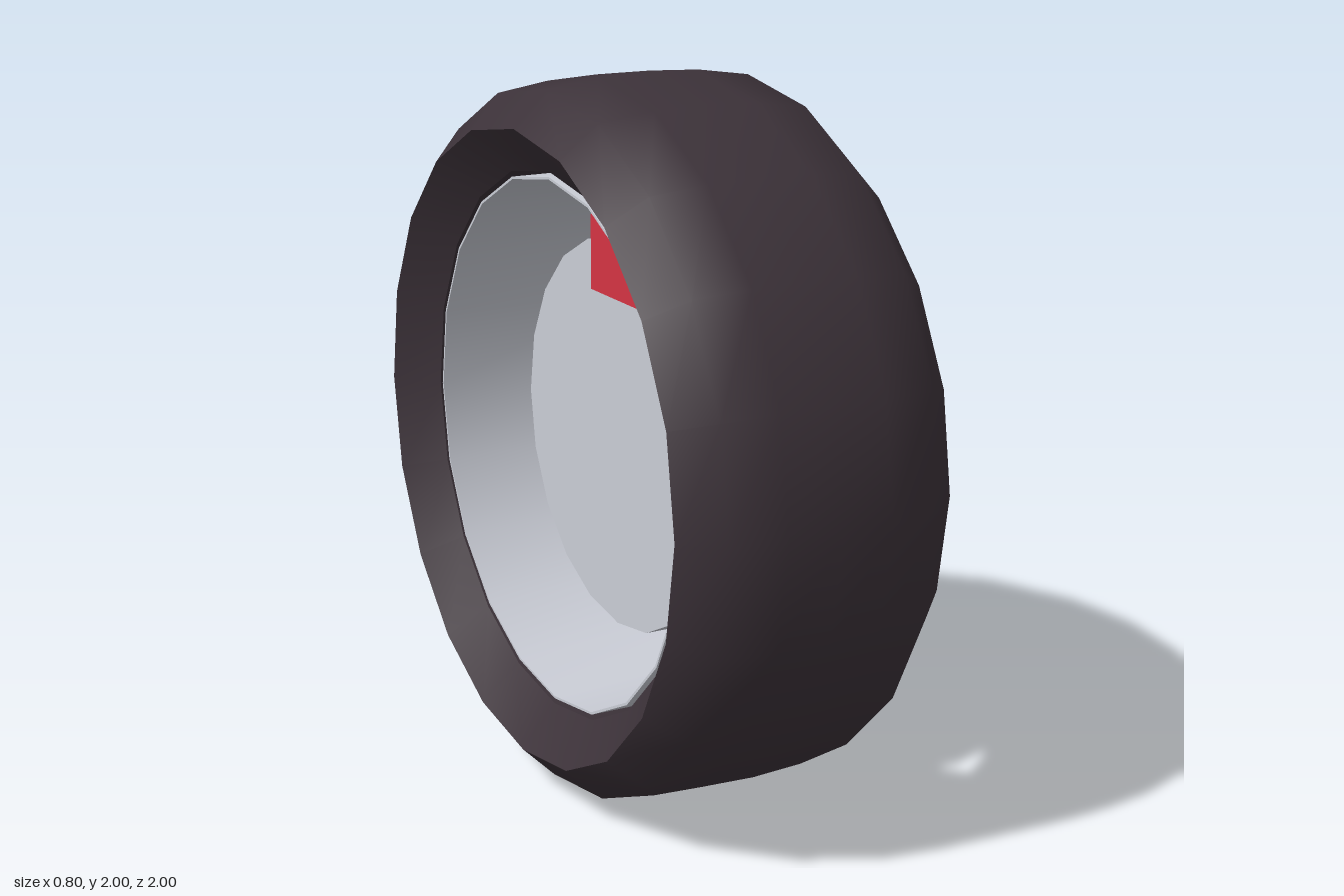
import * as THREE from 'three';
import { toCreasedNormals } from 'three/addons/utils/BufferGeometryUtils.js';

export function createModel() {
  const wheel = new THREE.Group();
  wheel.name = 'wheel';

  const mat = (name, color) => {
    const m = new THREE.MeshStandardMaterial({ color });
    m.name = name;
    return m;
  };
  const rubber = mat('rubber', 0x3c3239);
  const metal = mat('metal', 0xcacdd6);
  const red = mat('caliper red', 0xd43443);

  const add = (name, geometry, material, parent = wheel) => {
    const mesh = new THREE.Mesh(geometry, material);
    mesh.name = name;
    parent.add(mesh);
    return mesh;
  };

  // Ring spun around the x axle from [radius, x] points
  const ring = (points, crease) => {
    const g = new THREE.LatheGeometry(points.map(p => new THREE.Vector2(...p)), 20);
    g.rotateZ(-Math.PI / 2);
    return toCreasedNormals(g, crease);
  };

  // Solid disc on the axle between two x positions
  const drum = (radius, x0, x1, sides) => {
    const g = new THREE.CylinderGeometry(radius, radius, x1 - x0, sides);
    g.rotateZ(-Math.PI / 2);
    return g.translate((x0 + x1) / 2, 0, 0);
  };

  // Tyre: crowned tread, bevelled shoulders and sidewalls sloping in to the rim
  add('tyre', ring([
    [0.755, -0.3], [0.875, -0.4], [0.97, -0.305], [0.993, -0.15], [1, 0],
    [0.993, 0.15], [0.97, 0.305], [0.875, 0.4], [0.755, 0.3], [0.755, -0.3],
  ], 0.75), rubber);

  // Rim barrel with a bevelled outer lip
  add('rim', ring([
    [0.733, -0.3], [0.74, -0.3], [0.74, 0.275], [0.71, 0.3], [0.733, -0.3],
  ], 0.5), metal);

  // Hub and centre cap
  add('hub', drum(0.2, 0.13, 0.3, 32), metal);
  add('centreCap', drum(0.1, 0.29, 0.355, 32), metal);

  // Five V-shaped spokes, each made of two legs
  const legGeometry = new THREE.BoxGeometry(0.1, 0.55, 0.075).translate(0.23, 0.425, 0);
  for (let i = 0; i < 5; i++) {
    const spoke = new THREE.Group();
    spoke.name = 'spoke' + (i + 1);
    spoke.rotation.x = i * Math.PI * 2 / 5;
    for (const side of [-1, 1]) {
      add('spokeLeg', legGeometry, metal, spoke).rotation.x = side * 0.108;
    }
    wheel.add(spoke);
  }

  // Brake disc and caliper
  add('brakeDisc', drum(0.55, -0.1, -0.04, 20), metal);
  add('brakeCaliper', new THREE.BoxGeometry(0.11, 0.21, 0.265).translate(-0.055, 0.495, 0), red);

  wheel.position.y = 1;
  const model = new THREE.Group();
  model.name = 'wheelAssembly';
  model.add(wheel);
  return model;
}
